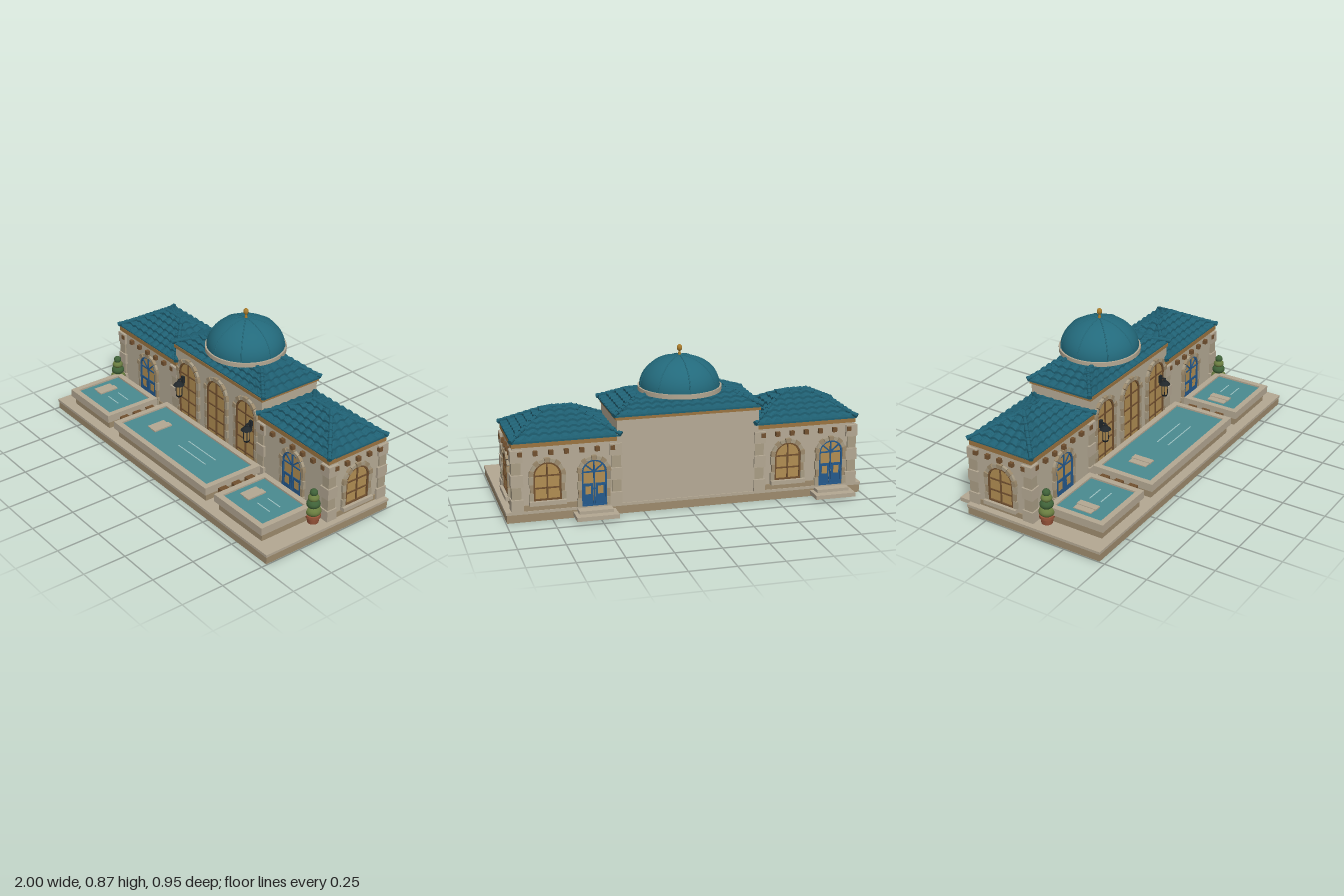
import * as THREE from 'three';
import { toCreasedNormals } from 'three/addons/utils/BufferGeometryUtils.js';

const mat = (color, side = THREE.FrontSide) => new THREE.MeshStandardMaterial({ color, side });
const M = {
  wall: mat(0xb5aa95), stone: mat(0xa89c84), base: mat(0x9c8a6c), pale: mat(0xb3a792), wood: mat(0x9a7340),
  brown: mat(0x71502f), glass: mat(0xb08d52), blue: mat(0x25598c), water: mat(0x4a8a90), roof: mat(0x1f6073, THREE.DoubleSide),
  dome: mat(0x236a7c), black: mat(0x20262a), gold: mat(0xa97c2c), leaf: mat(0x3f6138), leafLight: mat(0x6a7d40),
  pot: mat(0x9a553a), ripple: mat(0x9cc4c4),
};

function add(parent, name, geo, material, x = 0, y = 0, z = 0) {
  const m = new THREE.Mesh(geo, material);
  m.name = name;
  m.position.set(x, y, z);
  parent.add(m);
  return m;
}
// box given by its min and max on each axis
function box(parent, name, material, x0, x1, y0, y1, z0, z1) {
  return add(parent, name, new THREE.BoxGeometry(x1 - x0, y1 - y0, z1 - z0), material, (x0 + x1) / 2, (y0 + y1) / 2, (z0 + z1) / 2);
}
function group(parent, name, x = 0, y = 0, z = 0, ry = 0) {
  const g = new THREE.Group();
  g.name = name;
  g.position.set(x, y, z);
  g.rotation.y = ry;
  parent.add(g);
  return g;
}
const extrude = (shape, depth) => new THREE.ExtrudeGeometry(shape, { depth, bevelEnabled: false, curveSegments: 16 });
function archPath(path, r, bottom, spring) {
  path.moveTo(-r, bottom);
  path.lineTo(r, bottom);
  path.lineTo(r, spring);
  path.absarc(0, spring, r, 0, Math.PI, false);
  path.closePath();
  return path;
}

// Arched door or window facing +z with its wall plane at z = 0
function opening(parent, name, x, z, ry, { r, bottom, spring, door = false, sill = false, rows = 2 }) {
  const g = group(parent, name, x, 0, z, ry);
  const trim = door ? M.blue : M.brown;
  add(g, 'pane', extrude(archPath(new THREE.Shape(), r, bottom, spring), 0.004), M.glass);
  const frame = archPath(new THREE.Shape(), r, bottom, spring);
  frame.holes.push(archPath(new THREE.Path(), r - 0.009, bottom + 0.009, spring));
  add(g, 'frame', extrude(frame, 0.012), trim);
  box(g, 'mullion', trim, -0.004, 0.004, bottom, spring + r - 0.005, 0, 0.01);
  for (let i = 1; i <= rows; i++) {
    const y = bottom + (spring - bottom) * i / rows;
    box(g, 'crossbar', trim, -r, r, y - 0.004, y + 0.004, 0, 0.009);
  }
  if (door) for (const s of [-1, 1]) {
    box(g, 'doorPanel', M.blue, s * r / 2 - r * 0.4, s * r / 2 + r * 0.4, bottom, bottom + (spring - bottom) * 0.66, 0, 0.008);
    box(g, 'doorLight', M.glass, s * r / 2 - r * 0.22, s * r / 2 + r * 0.22, bottom + (spring - bottom) * 0.35, bottom + (spring - bottom) * 0.58, 0, 0.01);
    const bar = box(g, 'fanBar', M.blue, -0.004, 0.004, 0, r * 0.95, 0, 0.009);
    bar.geometry.translate(0, r * 0.475, 0);
    bar.position.y = spring;
    bar.rotation.z = s * 0.85;
  }
  // stone arch of nine wedges and alternating jamb blocks
  for (let i = 0; i < 9; i++) {
    const a = Math.PI * i / 9 + 0.02, b = Math.PI * (i + 1) / 9 - 0.02, w = new THREE.Shape();
    w.absarc(0, spring, r + (i % 2 ? 0.02 : 0.024), a, b, false);
    w.absarc(0, spring, r, b, a, true);
    add(g, 'archStone', extrude(w, i % 2 ? 0.015 : 0.019), i % 2 ? M.stone : M.base);
  }
  const n = Math.max(3, Math.round((spring - bottom) / 0.05)), h = (spring - bottom) / n;
  for (const s of [-1, 1]) for (let i = 0; i < n; i++) {
    const w = i % 2 ? 0.018 : 0.024, cx = s * (r + w / 2), y = bottom + i * h;
    box(g, 'jambStone', i % 2 ? M.base : M.stone, cx - w / 2, cx + w / 2, y + 0.001, y + h - 0.001, 0, 0.015);
  }
  if (sill) box(g, 'sill', M.pale, -r - 0.024, r + 0.024, bottom - 0.023, bottom, 0, 0.03);
}

// Hipped tile roof: eave half sizes hx, hz rise by h to the top half sizes tx, tz
function tileRoof(parent, name, x, y, z, hx, hz, tx, tz, h, rows) {
  const g = group(parent, name, x, y, z), N = 72;
  const pos = [], index = [];
  for (let k = 0; k < 4; k++) {
    const [a, d, ta, td] = k % 2 ? [hz, hx, tz, tx] : [hx, hz, tx, tz];
    const start = pos.length / 3, c = Math.round(Math.cos(k * Math.PI / 2)), s = Math.round(Math.sin(k * Math.PI / 2));
    for (let j = 0; j < rows * 2; j++) {
      const v = Math.ceil(j / 2) / rows, lift = j % 2 ? 0 : 0.012;
      for (let i = 0; i <= N; i++) {
        const u = (2 * i / N - 1) * (a + (ta - a) * v), q = d + (td - d) * v;
        const barrel = 0.011 * Math.abs(Math.cos(Math.PI * u / 0.055));
        pos.push(u * c + q * s, h * v + lift + barrel, q * c - u * s);
        if (i < N && j < rows * 2 - 1) {
          const p = start + j * (N + 1) + i;
          index.push(p, p + 1, p + N + 2, p, p + N + 2, p + N + 1);
        }
      }
    }
  }
  const geo = new THREE.BufferGeometry();
  geo.setAttribute('position', new THREE.Float32BufferAttribute(pos, 3));
  geo.setIndex(index);
  add(g, 'roofTiles', toCreasedNormals(geo, 0.6), M.roof);
  box(g, 'eaveBoard', M.roof, -hx + 0.004, hx - 0.004, -0.004, 0.006, -hz + 0.004, hz - 0.004);
  // overlapping cap tiles along hips and ridges
  const caps = (a, b, n) => {
    const dir = b.clone().sub(a), len = dir.length() / n;
    for (let i = 0; i < n; i++) {
      const p = a.clone().addScaledVector(dir, (i + 0.5) / n);
      const m = add(g, 'capTile', new THREE.CylinderGeometry(0.009, 0.014, len * 1.15, 10), M.roof, p.x, p.y, p.z);
      m.quaternion.setFromUnitVectors(new THREE.Vector3(0, 1, 0), dir.clone().normalize());
    }
  };
  const V = (px, py, pz) => new THREE.Vector3(px, py, pz);
  for (const sx of [-1, 1]) for (const sz of [-1, 1]) caps(V(sx * hx, 0.012, sz * hz), V(sx * tx, h + 0.004, sz * tz), 7);
  caps(V(-tx, h + 0.004, tz), V(tx, h + 0.004, tz), 4);
  if (tz > 0) {
    caps(V(-tx, h + 0.004, -tz), V(tx, h + 0.004, -tz), 4);
    box(g, 'roofTop', M.roof, -tx, tx, h - 0.01, h + 0.005, -tz, tz);
  }
}

function wing(root, side) {
  const cx = side * 0.67, hw = 0.285, front = 0.022, back = -0.365;
  const g = group(root, side > 0 ? 'leftWing' : 'rightWing', cx);
  box(g, 'wingWall', M.wall, -hw, hw, 0.06, 0.415, back, front);
  box(g, 'plinthBand', M.base, -hw - 0.006, hw + 0.006, 0.06, 0.09, back - 0.006, front + 0.006);
  box(g, 'cornice', M.wood, -hw - 0.006, hw + 0.006, 0.41, 0.437, back - 0.004, front + 0.01);
  tileRoof(g, 'wingRoof', 0, 0.437, -0.17, 0.295, 0.205, 0.07, 0, 0.128, 6);
  // corner quoins
  for (const sx of [-1, 1]) for (const sz of [-1, 1]) for (let i = 0; i < 5; i++) {
    const w = i % 2 ? 0.05 : 0.066, p = i % 2 ? 0.01 : 0.015;
    const ox = sx * (hw + p - w / 2), oz = (sz > 0 ? front + p : back - p) - sz * w / 2, y = 0.061 + i * 0.068;
    box(g, 'quoin', i % 2 ? M.stone : M.pale, ox - w / 2, ox + w / 2, y, y + 0.065, oz - w / 2, oz + w / 2);
  }
  // wooden brackets under the cornice
  for (let i = -3; i <= 3; i++) for (const z of [front, back]) box(g, 'bracket', M.brown, i * 0.083 - 0.012, i * 0.083 + 0.012, 0.365, 0.39, z - 0.02, z + 0.02);
  for (let i = -2; i <= 2; i++) box(g, 'bracket', M.brown, side * hw - 0.02, side * hw + 0.02, 0.365, 0.39, -0.182 + i * 0.077, -0.158 + i * 0.077);
  opening(g, 'frontDoor', 0, front, 0, { r: 0.078, bottom: 0.06, spring: 0.262, door: true });
  opening(g, 'sideWindow', side * hw, -0.17, side * Math.PI / 2, { r: 0.08, bottom: 0.114, spring: 0.25, sill: true });
  opening(g, 'backWindow', 0.105, back, Math.PI, { r: 0.075, bottom: 0.114, spring: 0.25, sill: true });
  opening(g, 'backDoor', -0.147, back, Math.PI, { r: 0.068, bottom: 0.06, spring: 0.25, door: true });
  box(g, 'lowerStep', M.pale, -0.262, -0.032, 0.012, 0.035, -0.475, -0.37);
  box(g, 'upperStep', M.pale, -0.24, -0.054, 0.035, 0.052, -0.43, -0.37);
}

function pool(root, name, x0, x1, z0, z1, rim) {
  const g = group(root, name);
  box(g, 'poolWall', M.base, x0 + 0.018, x1 - 0.018, 0.06, 0.112, z0 + 0.018, z1 - 0.018);
  const s = new THREE.Shape().moveTo(x0, -z0).lineTo(x0, -z1).lineTo(x1, -z1).lineTo(x1, -z0).closePath();
  const [a, b, c, d] = [x0 + rim, x1 - rim, z0 + rim, z1 - rim];
  s.holes.push(new THREE.Path().moveTo(a, -c).lineTo(b, -c).lineTo(b, -d).lineTo(a, -d).closePath());
  add(g, 'poolRim', extrude(s, 0.045), M.pale, 0, 0.11, 0).rotation.x = -Math.PI / 2;
  box(g, 'water', M.water, a, b, 0.11, 0.145, c, d);
  // floating lounger and ripples
  const w = b - a, lx = a + Math.min(w * 0.17, 0.14), mz = (c + d) / 2;
  box(g, 'lounger', M.pale, lx - 0.02, lx + 0.025, 0.144, 0.15, mz - 0.055, mz + 0.055);
  box(g, 'loungerBack', M.pale, lx + 0.018, lx + 0.058, 0.146, 0.154, mz - 0.06, mz + 0.06);
  for (const dz of [-0.035, 0.035]) box(g, 'ripple', M.ripple, a + w * 0.48, a + w * 0.79, 0.145, 0.147, mz + dz - 0.003, mz + dz + 0.003);
}

export function createModel() {
  const root = new THREE.Group();
  root.name = 'villa';
  box(root, 'foundation', M.base, -0.995, 0.995, 0, 0.047, -0.372, 0.467);
  box(root, 'terrace', M.pale, -1, 1, 0.045, 0.06, -0.376, 0.471);

  // central hall with its dome
  const hall = group(root, 'hall');
  box(hall, 'hallWall', M.wall, -0.395, 0.395, 0.06, 0.53, -0.37, 0.02);
  box(hall, 'fascia', M.wood, -0.403, 0.403, 0.523, 0.543, -0.377, 0.026);
  tileRoof(hall, 'hallRoof', 0, 0.543, -0.178, 0.415, 0.205, 0.25, 0.085, 0.076, 4);
  for (const x of [-0.266, 0, 0.266]) opening(hall, 'tallWindow', x, 0.02, 0, { r: 0.083, bottom: 0.06, spring: 0.39, rows: 4 });
  const dome = group(hall, 'dome', 0, 0.62, -0.18);
  add(dome, 'domeRim', new THREE.CylinderGeometry(0.23, 0.23, 0.025, 64), M.pale, 0, 0.0125, 0);
  add(dome, 'domeShell', new THREE.SphereGeometry(1, 64, 20, 0, Math.PI * 2, 0, Math.PI / 2).scale(0.22, 0.165, 0.22), M.dome, 0, 0.025, 0);
  const arc = [];
  for (let i = 0; i <= 12; i++) arc.push(new THREE.Vector3(0.22 * Math.cos(i * Math.PI / 24), 0.025 + 0.165 * Math.sin(i * Math.PI / 24), 0));
  for (let i = 0; i < 8; i++) add(dome, 'domeRib', new THREE.TubeGeometry(new THREE.CatmullRomCurve3(arc), 24, 0.0035, 6), M.dome).rotation.y = i * Math.PI / 4;
  add(dome, 'finialStem', new THREE.CylinderGeometry(0.005, 0.009, 0.035, 12), M.gold, 0, 0.203, 0);
  add(dome, 'finialBall', new THREE.SphereGeometry(0.015, 16, 12).scale(1, 1.25, 1), M.gold, 0, 0.23, 0);

  pool(root, 'mainPool', -0.438, 0.438, 0.06, 0.436, 0.033);
  pool(root, 'rightPool', -0.907, -0.508, 0.082, 0.43, 0.033);
  pool(root, 'leftPool', 0.508, 0.907, 0.082, 0.43, 0.033);

  for (const s of [-1, 1]) {
    wing(root, s);
    // wooden steps between the pools
    for (let i = 0; i < 3; i++) box(root, 'poolStep', M.brown, s * 0.473 - 0.034, s * 0.473 + 0.034, 0.07, 0.125, 0.12 + i * 0.09, 0.17 + i * 0.09);
    // potted topiary
    const t = group(root, 'topiary', s * 0.915, 0.06, 0.088);
    const pot = [[0, 0], [0.03, 0], [0.036, 0.035], [0.041, 0.035], [0.041, 0.05], [0, 0.05]].map(p => new THREE.Vector2(...p));
    add(t, 'pot', toCreasedNormals(new THREE.LatheGeometry(pot, 24), 0.5), M.pot);
    [[0.044, 0.072], [0.038, 0.115], [0.031, 0.152], [0.022, 0.184]].forEach(([r, y], i) =>
      add(t, 'foliage', new THREE.SphereGeometry(r, 20, 12).scale(1, i === 3 ? 0.95 : 0.72, 1), i % 2 ? M.leaf : M.leafLight, 0, y, 0));
    // wall lantern
    const l = group(root, 'lantern', s * 0.315, 0, 0.06);
    add(l, 'lampGlass', new THREE.CylinderGeometry(0.021, 0.016, 0.07, 6), M.glass, 0, 0.292, 0);
    add(l, 'lampBase', new THREE.CylinderGeometry(0.02, 0.014, 0.012, 6), M.black, 0, 0.254, 0);
    add(l, 'lampCap', new THREE.CylinderGeometry(0.012, 0.033, 0.022, 12), M.black, 0, 0.335, 0);
    add(l, 'lampKnob', new THREE.SphereGeometry(0.009, 10, 8), M.black, 0, 0.35, 0);
    for (let i = 0; i < 6; i++) add(l, 'lampBar', new THREE.CylinderGeometry(0.002, 0.002, 0.07, 5), M.black, 0.019 * Math.sin(i * Math.PI / 3), 0.292, 0.019 * Math.cos(i * Math.PI / 3));
    box(l, 'lampArm', M.black, -0.004, 0.004, 0.354, 0.362, -0.04, 0.004);
    box(l, 'lampPlate', M.black, -0.009, 0.009, 0.325, 0.372, -0.04, -0.022);
  }
  return root;
}
